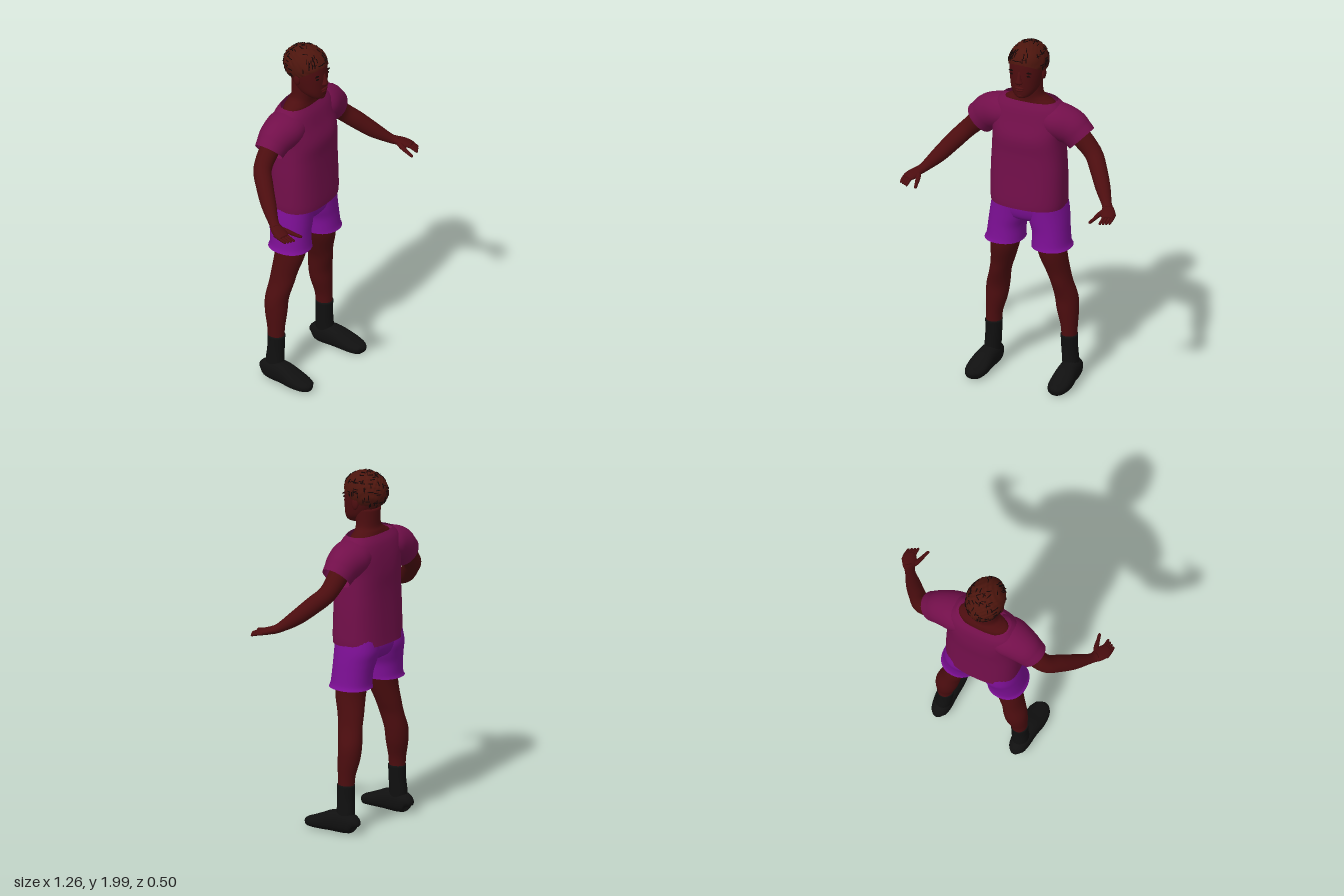
import * as THREE from 'three';
import { mergeGeometries } from 'three/addons/utils/BufferGeometryUtils.js';

const mat = (name, color, side = THREE.FrontSide) => {
  const m = new THREE.MeshStandardMaterial({ color, side });
  m.name = name;
  return m;
};

// Smooth value between rows of numbers (Catmull-Rom)
function sampleRows(rows, t) {
  const i = Math.min(Math.floor(t), rows.length - 2), f = t - i;
  const at = k => rows[Math.max(0, Math.min(rows.length - 1, k))];
  return rows[i].map((_, c) => {
    const [p, q, r, s] = [at(i - 1)[c], at(i)[c], at(i + 1)[c], at(i + 2)[c]];
    return q + 0.5 * f * (r - p + f * (2 * p - 5 * q + 4 * r - s + f * (3 * (q - r) + s - p)));
  });
}

// Skin over rows [x, y, z, radiusA, radiusB].
// Level rings: A is along x, B along z (rows run upwards).
// Bent rings stand across the path: A is sideways, B is up.
function loft(rows, { bend = false, power = 2, caps = true, sides = 28, steps = 5, mirror = 1 } = {}) {
  const n = (rows.length - 1) * steps + 1, pos = [], idx = [];
  const pts = Array.from({ length: n }, (_, i) => sampleRows(rows, i / steps));
  const centre = pts.map(p => new THREE.Vector3(p[0] * mirror, p[1], p[2]));
  const up = new THREE.Vector3(0, 1, 0);
  const curve = c => Math.sign(c) * Math.abs(c) ** (2 / power);
  pts.forEach((p, i) => {
    let u = new THREE.Vector3(0, 0, 1), v = new THREE.Vector3(1, 0, 0);
    let a = Math.max(p[4], 0.001), b = Math.max(p[3], 0.001);
    if (bend) {
      const t = centre[Math.min(i + 1, n - 1)].clone().sub(centre[Math.max(i - 1, 0)]).normalize();
      u = t.clone().cross(up).normalize();
      v = t.clone().cross(u);
      [a, b] = [b, a];
    }
    for (let j = 0; j < sides; j++) {
      const w = (j / sides) * Math.PI * 2;
      const q = centre[i].clone().addScaledVector(u, a * curve(Math.cos(w))).addScaledVector(v, b * curve(Math.sin(w)));
      pos.push(q.x, q.y, q.z);
      if (i < n - 1) {
        const k = i * sides + j, l = i * sides + (j + 1) % sides;
        idx.push(k, l, l + sides, k, l + sides, k + sides);
      }
    }
  });
  if (caps) {
    for (const e of [0, n - 1]) {
      const c = pos.length / 3;
      pos.push(...centre[e].toArray());
      for (let j = 0; j < sides; j++) {
        const k = e * sides + j, l = e * sides + (j + 1) % sides;
        idx.push(c, ...(e ? [k, l] : [l, k]));
      }
    }
  }
  const g = new THREE.BufferGeometry();
  g.setAttribute('position', new THREE.Float32BufferAttribute(pos, 3));
  g.setIndex(idx);
  g.computeVertexNormals();
  return g;
}

const blob = (x, y, z, a, b, c) => new THREE.SphereGeometry(1, 20, 14).scale(a, b, c).translate(x, y, z);

export function createModel() {
  const model = new THREE.Group();
  model.name = 'standingMan';
  const skin = mat('skin', 0x4c0d0f);
  const hairMat = mat('hair', 0x4c150d);
  const dark = mat('darkDetail', 0x140505);
  const shirtMat = mat('shirtCloth', 0x720f4a, THREE.DoubleSide);
  const shortsMat = mat('shortsCloth', 0x7c0f94, THREE.DoubleSide);
  const black = mat('blackFootwear', 0x101010);
  const add = (name, geometry, material) => {
    const m = new THREE.Mesh(geometry, material);
    m.name = name;
    model.add(m);
  };

  // Head and neck
  add('head', loft([
    [0, 1.703, -0.02, 0.02, 0.03], [0, 1.717, -0.02, 0.045, 0.048], [0, 1.75, -0.045, 0.072, 0.078],
    [0, 1.8, -0.065, 0.086, 0.1], [0, 1.86, -0.08, 0.095, 0.114], [0, 1.92, -0.085, 0.093, 0.112],
    [0, 1.965, -0.085, 0.068, 0.085], [0, 1.985, -0.085, 0.02, 0.03]], { power: 2.15 }), skin);
  add('neck', loft([
    [0, 1.55, -0.115, 0.15, 0.07], [0, 1.64, -0.115, 0.152, 0.07], [0, 1.672, -0.113, 0.105, 0.066],
    [0, 1.705, -0.105, 0.077, 0.062], [0, 1.8, -0.1, 0.074, 0.07]]), skin);
  add('nose', loft([
    [0, 1.794, 0.035, 0.012, 0.008], [0, 1.805, 0.036, 0.022, 0.018],
    [0, 1.825, 0.034, 0.014, 0.016], [0, 1.865, 0.026, 0.009, 0.009]]), skin);
  add('lips', mergeGeometries([blob(0, 1.772, 0.029, 0.028, 0.008, 0.014), blob(0, 1.757, 0.027, 0.024, 0.008, 0.013)]), skin);
  add('chin', blob(0, 1.725, 0.012, 0.03, 0.02, 0.02), skin);

  // Hair cap, tilted back, with a knobbly surface
  const hair = new THREE.SphereGeometry(1, 72, 44, 0, Math.PI * 2, 0, Math.PI * 0.63).rotateX(-0.6);
  const hp = hair.attributes.position;
  for (let i = 0; i < hp.count; i++) {
    const [x, y, z] = [hp.getX(i), hp.getY(i), hp.getZ(i)];
    const k = 1 + 0.022 * Math.sin(x * 22) * Math.sin(z * 20 + y * 17);
    hp.setXYZ(i, x * k * 0.105, 1.89 + y * k * 0.108, z * k * 0.129 - 0.09);
  }
  hair.computeVertexNormals();
  add('hair', hair, hairMat);

  // Short dark strands lying on the hair
  let seed = 7;
  const rand = () => (seed = (seed * 16807) % 2147483647) / 2147483647;
  const strands = [];
  const helper = new THREE.Object3D();
  for (let i = 0; i < 110; i++) {
    const th = Math.acos(1 - rand() * 1.25), ph = rand() * Math.PI * 2;
    const d = new THREE.Vector3().setFromSphericalCoords(1, th, ph).applyAxisAngle(new THREE.Vector3(1, 0, 0), -0.6);
    helper.position.set(d.x * 0.106, 1.89 + d.y * 0.109, d.z * 0.13 - 0.09);
    helper.lookAt(helper.position.clone().add(d));
    helper.rotateZ(i % 2 ? Math.PI / 2 : 0);
    helper.updateMatrix();
    strands.push(new THREE.BoxGeometry(0.004, 0.026, 0.005).applyMatrix4(helper.matrix));
  }
  add('hairStrands', mergeGeometries(strands), dark);

  // Shirt body
  add('shirtBody', loft([
    [0, 1.05, -0.102, 0.21, 0.148], [0, 1.1, -0.1, 0.213, 0.147], [0, 1.25, -0.1, 0.212, 0.141],
    [0, 1.36, -0.1, 0.206, 0.139], [0, 1.46, -0.1, 0.202, 0.141], [0, 1.55, -0.11, 0.215, 0.123],
    [0, 1.62, -0.113, 0.2, 0.104], [0, 1.663, -0.112, 0.158, 0.08]],
  { power: 2.6, caps: false, sides: 48 }), shirtMat);

  // Pelvis of the shorts
  add('shortsSeat', loft([
    [0, 0.95, -0.105, 0.06, 0.07], [0, 0.975, -0.107, 0.16, 0.105], [0, 1.03, -0.11, 0.2, 0.124],
    [0, 1.12, -0.105, 0.195, 0.122]], { power: 2.4 }), shortsMat);

  for (const [side, mirror] of [['left', 1], ['right', -1]]) {
    const part = (name, rows, material, options = {}) => add(side + name, loft(rows, { mirror, ...options }), material);

    // Face details
    add(side + 'Eye', blob(mirror * 0.04, 1.845, 0.02, 0.021, 0.006, 0.005), dark);
    add(side + 'Eyebrow', blob(mirror * 0.043, 1.864, 0.02, 0.026, 0.005, 0.005), dark);
    add(side + 'Ear', blob(mirror * 0.092, 1.83, -0.085, 0.012, 0.033, 0.021), skin);

    // Sleeve and arm
    part('Sleeve', [
      [0.08, 1.55, -0.115, 0.1, 0.09], [0.16, 1.55, -0.113, 0.112, 0.1], [0.235, 1.525, -0.118, 0.098, 0.102],
      [0.275, 1.495, -0.12, 0.087, 0.094], [0.305, 1.467, -0.12, 0.08, 0.09]],
    shirtMat, { bend: true, caps: false });
    part('Arm', [
      [0.18, 1.56, -0.125, 0.06, 0.06], [0.27, 1.495, -0.125, 0.056, 0.058], [0.37, 1.4, -0.115, 0.05, 0.05],
      [0.43, 1.335, -0.06, 0.047, 0.049], [0.49, 1.265, 0.01, 0.041, 0.042], [0.545, 1.21, 0.08, 0.028, 0.026],
      [0.57, 1.195, 0.115, 0.03, 0.022]], skin, { bend: true });

    // Hand
    part('Palm', [
      [0.555, 1.203, 0.095, 0.026, 0.02], [0.575, 1.193, 0.125, 0.036, 0.02],
      [0.59, 1.184, 0.16, 0.039, 0.018], [0.6, 1.178, 0.19, 0.03, 0.012]], skin, { bend: true, sides: 16 });
    for (let f = 0; f < 4; f++) {
      const x = 0.574 + f * 0.015, z = 0.186 - f * 0.009;
      part('Finger' + (f + 1), [
        [x, 1.183, z - 0.02, 0.009, 0.009], [x + 0.004, 1.175, z + 0.015, 0.009, 0.009],
        [x + 0.003, 1.162, z + 0.05, 0.007, 0.007], [x + 0.002, 1.159, z + 0.056, 0.002, 0.002]],
      skin, { bend: true, sides: 10, steps: 3 });
    }
    part('Thumb', [
      [0.562, 1.195, 0.12, 0.016, 0.015], [0.542, 1.182, 0.165, 0.014, 0.013], [0.53, 1.17, 0.21, 0.01, 0.01],
      [0.521, 1.163, 0.244, 0.008, 0.008], [0.52, 1.162, 0.25, 0.002, 0.002]], skin, { bend: true, sides: 12 });

    // Shorts leg
    part('ShortsLeg', [
      [0.14, 0.81, -0.095, 0.11, 0.12], [0.135, 0.835, -0.095, 0.104, 0.114], [0.13, 0.9, -0.1, 0.101, 0.114],
      [0.117, 0.96, -0.106, 0.108, 0.12], [0.108, 1.02, -0.112, 0.109, 0.127], [0.1, 1.09, -0.108, 0.104, 0.125]],
    shortsMat, { caps: false, power: 2.2 });

    // Leg
    part('Leg', [
      [0.225, 0.26, -0.128, 0.042, 0.046], [0.223, 0.33, -0.13, 0.046, 0.05], [0.212, 0.42, -0.137, 0.06, 0.062],
      [0.203, 0.5, -0.138, 0.064, 0.066], [0.183, 0.59, -0.122, 0.058, 0.072], [0.165, 0.66, -0.113, 0.064, 0.076],
      [0.143, 0.76, -0.095, 0.077, 0.086], [0.13, 0.85, -0.095, 0.085, 0.092], [0.12, 0.95, -0.1, 0.085, 0.09]], skin);

    // Sock and shoe
    part('Sock', [
      [0.238, 0.05, -0.125, 0.046, 0.056], [0.232, 0.13, -0.13, 0.045, 0.053], [0.227, 0.2, -0.128, 0.045, 0.049],
      [0.225, 0.28, -0.127, 0.047, 0.05]], black);
    part('Shoe', [
      [0.234, 0.05, -0.202, 0.012, 0.015], [0.235, 0.06, -0.192, 0.04, 0.045], [0.237, 0.069, -0.14, 0.053, 0.06],
      [0.241, 0.067, -0.06, 0.057, 0.058], [0.246, 0.053, 0.01, 0.063, 0.044], [0.246, 0.041, 0.07, 0.058, 0.032],
      [0.241, 0.034, 0.108, 0.038, 0.024], [0.238, 0.031, 0.12, 0.01, 0.01]], black, { bend: true, power: 2.4 });
  }

  // Rest the soles on the ground
  model.children.forEach(m => m.geometry.translate(0, -0.006, 0));
  return model;
}
